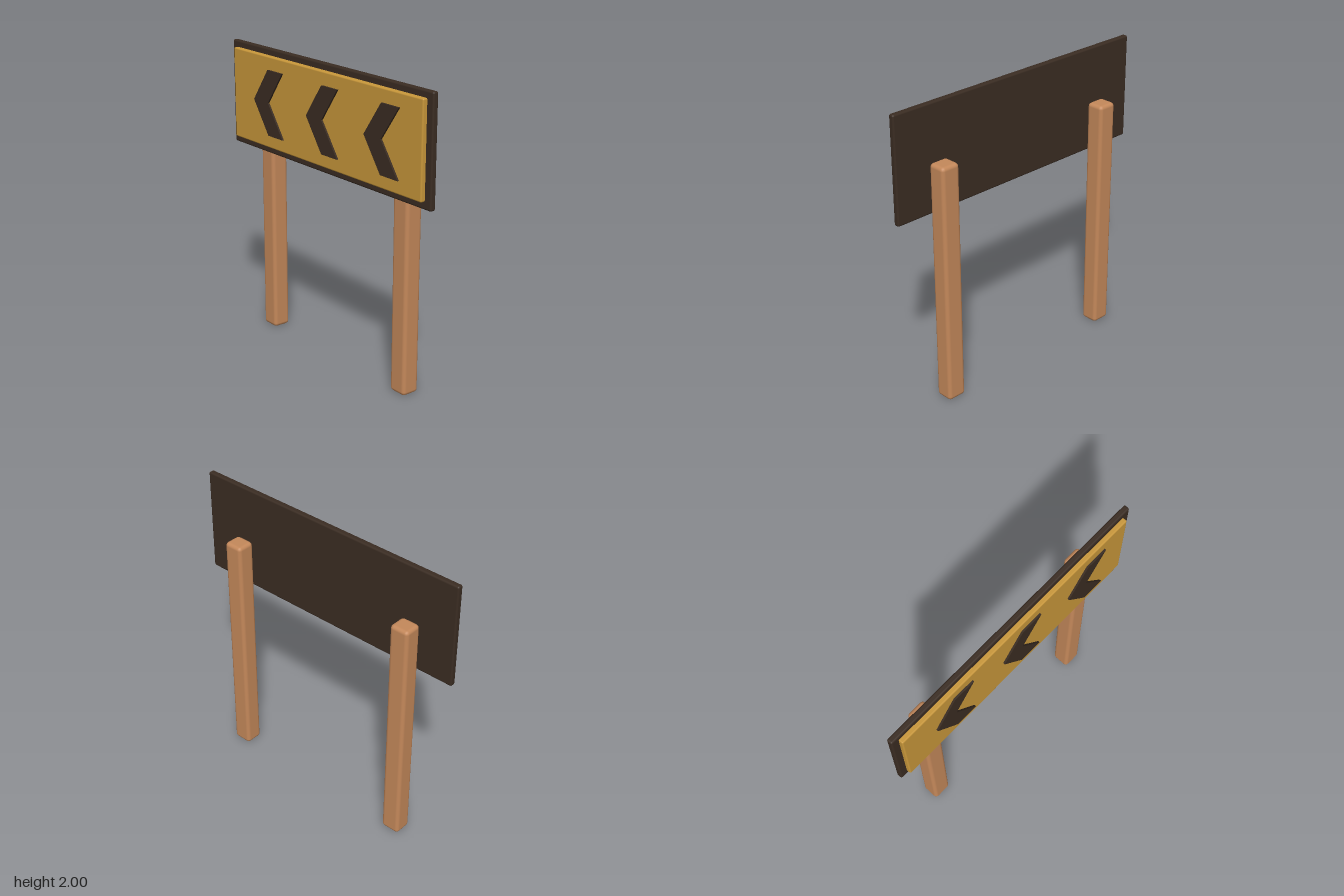
import * as THREE from 'three';
import { RoundedBoxGeometry } from 'three/addons/geometries/RoundedBoxGeometry.js';

const mat = (name, color) => {
  const m = new THREE.MeshStandardMaterial({ color });
  m.name = name;
  return m;
};

export function createModel() {
  const wood = mat('wood', 0xc4885a);
  const yellow = mat('yellow', 0xc8973a);
  const dark = mat('darkBrown', 0x3a2c22);
  const group = new THREE.Group();
  group.name = 'chevronSign';

  const add = (name, geometry, material, x, y, z) => {
    const mesh = new THREE.Mesh(geometry, material);
    mesh.name = name;
    mesh.position.set(x, y, z);
    group.add(mesh);
  };

  // Wooden posts with softened edges
  const post = new RoundedBoxGeometry(0.134, 1.633, 0.124, 2, 0.025);
  add('leftPost', post, wood, 0.678, 0.8165, -0.043);
  add('rightPost', post, wood, -0.678, 0.8165, -0.043);

  // Dark backing board and raised yellow panel
  add('backBoard', new RoundedBoxGeometry(1.98, 0.706, 0.04, 2, 0.012), dark, 0, 1.647, 0.041);
  add('signPanel', new RoundedBoxGeometry(1.878, 0.614, 0.045, 2, 0.01), yellow, 0, 1.65, 0.069);

  // Three chevrons pointing to the model's right
  const w = 0.156, h = 0.22;
  const shape = new THREE.Shape([
    [0, 0], [w, -h], [2 * w, -h], [w, 0], [2 * w, h], [w, h],
  ].map(([x, y]) => new THREE.Vector2(x, y)));
  const chevron = new THREE.ExtrudeGeometry(shape, { depth: 0.014, bevelEnabled: false });
  for (let i = 0; i < 3; i++) {
    add(`chevron${i + 1}`, chevron, dark, -0.695 + i * 0.565, 1.65, 0.09);
  }

  return group;
}
